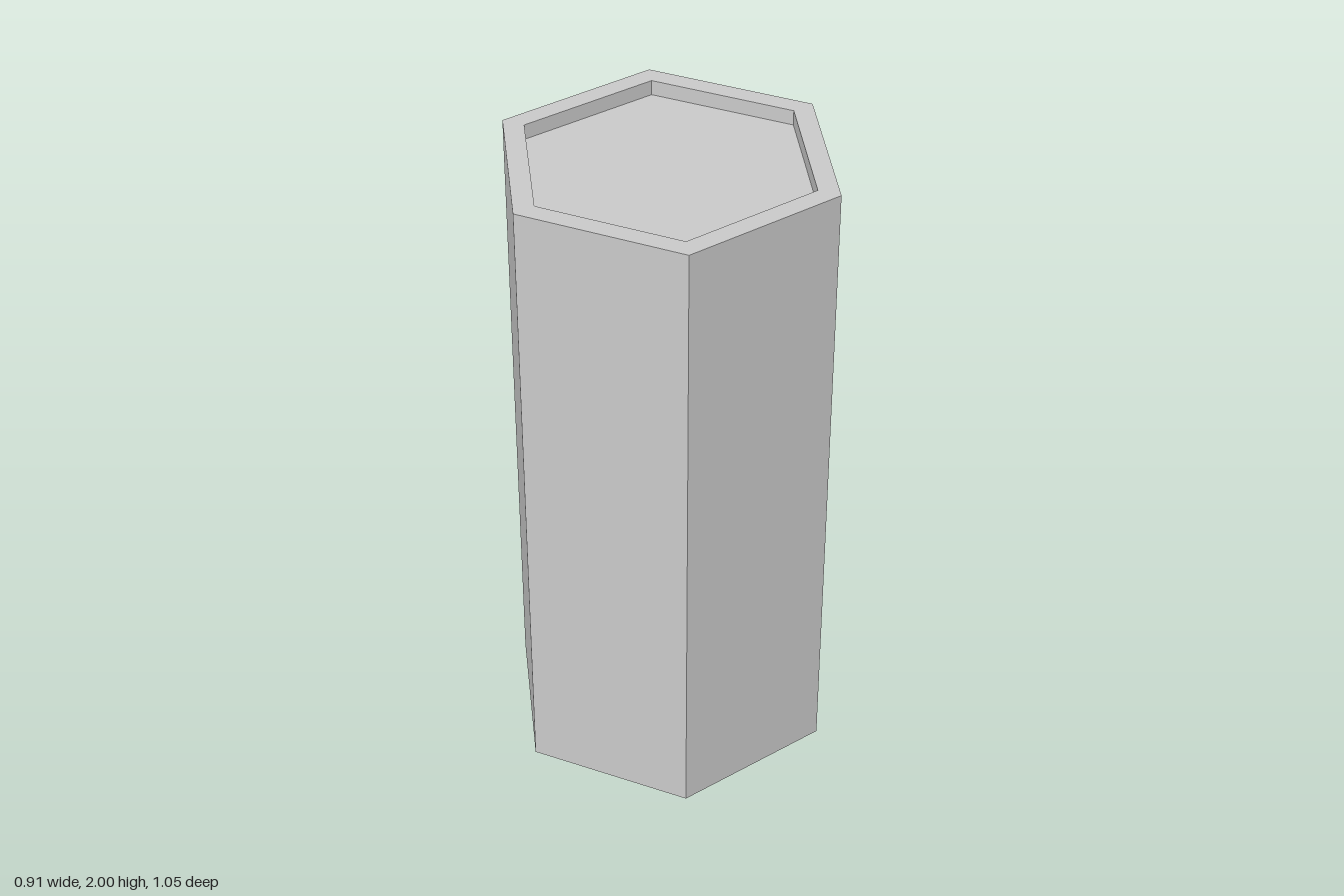
import * as THREE from 'three';

const HEIGHT = 2;
const OUTER = 0.523;  // corner radius of the prism
const INNER = 0.453;  // corner radius of the recess
const DEPTH = 0.047;  // depth of the recess in the top

export function createModel() {
  const group = new THREE.Group();
  group.name = 'hexagonalColumn';
  const material = new THREE.MeshStandardMaterial({ color: 0xcccccc, flatShading: true });

  // Closed profile: base, outer wall, rim, recess wall, recess floor
  const profile = [
    [0, 0],
    [OUTER, 0],
    [OUTER, HEIGHT],
    [INNER, HEIGHT],
    [INNER, HEIGHT - DEPTH],
    [0, HEIGHT - DEPTH],
  ].map(([r, y]) => new THREE.Vector2(r, y));

  // Six sides, with corners pointing to the front and back
  const geometry = new THREE.LatheGeometry(profile, 6).toNonIndexed();
  geometry.computeVertexNormals();

  const column = new THREE.Mesh(geometry, material);
  column.name = 'columnWithRecessedTop';
  group.add(column);
  return group;
}
